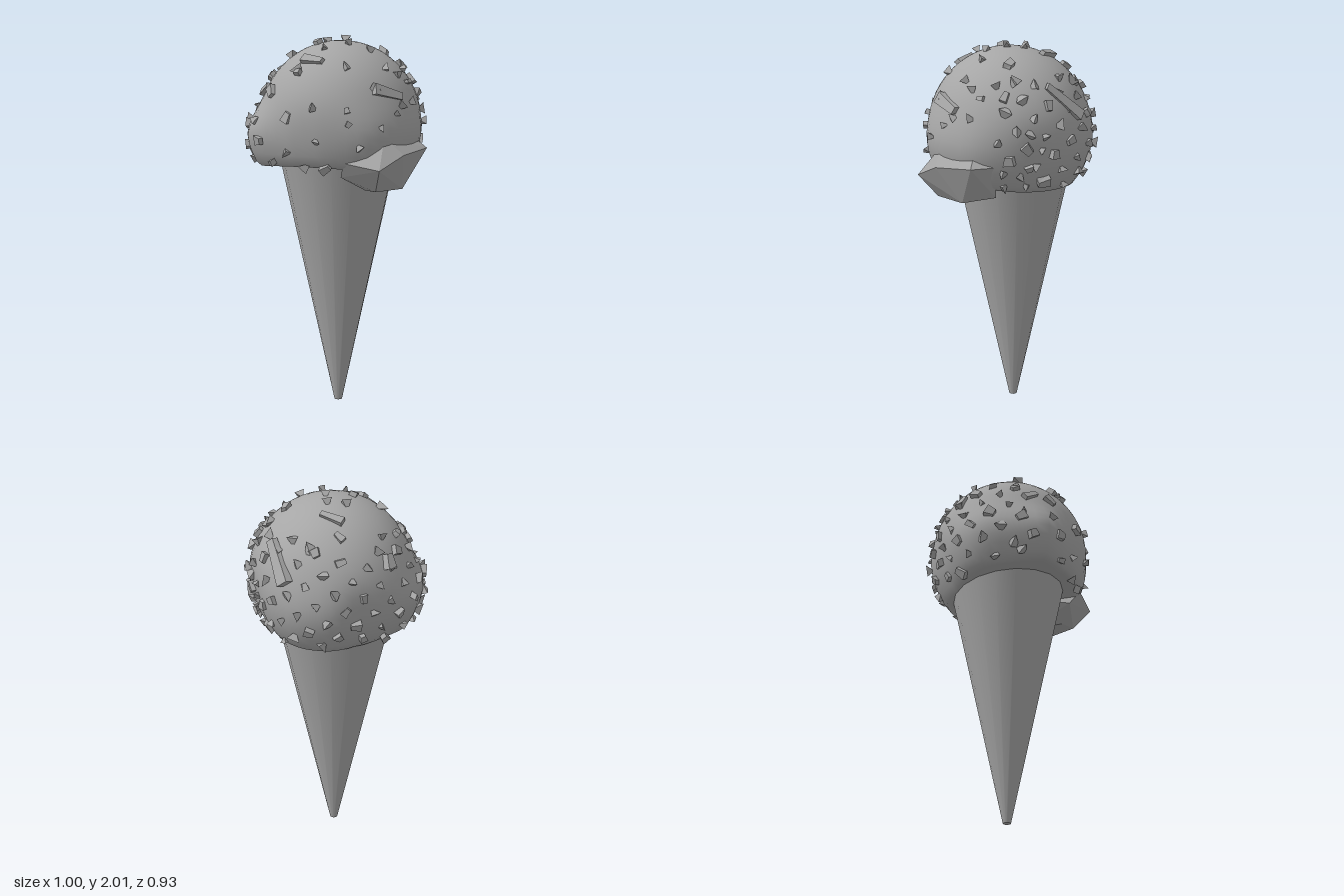
import * as THREE from 'three';
import { mergeGeometries, mergeVertices } from 'three/addons/utils/BufferGeometryUtils.js';
import { ConvexGeometry } from 'three/addons/geometries/ConvexGeometry.js';

const CENTER_Y = 1.545, RADIUS = 0.44;
// lower outline of the scoop: radius every 22.5 degrees, from +z towards +x
const OUTLINE = [0.42, 0.43, 0.46, 0.46, 0.46, 0.43, 0.41, 0.435, 0.45, 0.445, 0.41, 0.445, 0.49, 0.49, 0.52, 0.44];

function seeded(seed) {
  return () => {
    seed = (seed * 1664525 + 1013904223) % 4294967296;
    return seed / 4294967296;
  };
}

// unit direction -> point on the lumpy scoop
function scoopPoint(d) {
  const az = Math.atan2(d.x, d.z);
  const t = ((az / (Math.PI * 2) + 1) % 1) * 16;
  const i = Math.floor(t) % 16, f = t - Math.floor(t);
  const lower = THREE.MathUtils.lerp(OUTLINE[i], OUTLINE[(i + 1) % 16], f);
  const y = CENTER_Y + d.y * RADIUS;
  const blend = 1 - THREE.MathUtils.smoothstep(y, 1.47, 1.72);
  const r = THREE.MathUtils.lerp(RADIUS - 0.005, lower, blend);
  const rim = 1.3 + 0.04 * Math.cos(az);
  return new THREE.Vector3(d.x * r, Math.max(y, rim), d.z * r);
}

function makeScoop() {
  let g = new THREE.SphereGeometry(1, 48, 28);
  const p = g.attributes.position, v = new THREE.Vector3();
  for (let i = 0; i < p.count; i++) {
    const q = scoopPoint(v.fromBufferAttribute(p, i));
    p.setXYZ(i, q.x, q.y, q.z);
  }
  g.deleteAttribute('normal');
  g.deleteAttribute('uv');
  g = mergeVertices(g);
  g.computeVertexNormals();
  return g;
}

// one faceted chip: a jittered tetrahedron or a tapered block, flat on y
function makeChip(rand, size) {
  const block = size > 1.2 || rand() < 0.4;
  let g = block
    ? new THREE.BoxGeometry(0.045, 0.036, 0.045 + 0.035 * Math.max(0, size - 1))
    : new THREE.TetrahedronGeometry(0.036);
  if (g.index) g = g.toNonIndexed();
  const p = g.attributes.position;
  const sx = 0.75 + rand() * 0.5, sz = 0.75 + rand() * 0.5, lean = (rand() - 0.5) * 0.8;
  for (let i = 0; i < p.count; i++) {
    const x = p.getX(i), y = p.getY(i), z = p.getZ(i);
    const taper = block && z > 0 ? 0.65 : 1;
    p.setXYZ(i, (x * sx * taper + y * lean) * Math.min(size, 1.2), y * taper, z * sz * size);
  }
  g.deleteAttribute('uv');
  g.computeVertexNormals();
  return g;
}

// chip places, as pairs in the plane named
const FRONT = [-0.32, 1.8, -0.08, 1.82, 0.05, 1.65, -0.1, 1.6, 0.07, 1.48, -0.11, 1.42, -0.38, 1.58, -0.29, 1.57,
  -0.35, 1.44, -0.25, 1.47, 0.23, 1.57, 0.27, 1.45, 0.22, 1.64, -0.24, 1.72, -0.02, 1.33, 0.1, 1.34,
  -0.35, 1.36, -0.2, 1.36, 0.31, 1.75];
const SIDE = [0.12, 1.66, -0.02, 1.77, 0.04, 1.81, 0.02, 1.67, 0.1, 1.84, -0.08, 1.83, -0.14, 1.78, -0.16, 1.84,
  -0.28, 1.6, -0.27, 1.42, -0.33, 1.51, 0.26, 1.55, 0.17, 1.62, -0.15, 1.4, -0.24, 1.32];
const TOP = [-0.15, -0.25, 0.07, -0.31, -0.1, -0.05, -0.01, -0.08, 0.03, 0, 0.09, 0.09, 0.2, 0.06, -0.09, 0.09,
  -0.22, 0.13, 0, 0.19, 0.17, 0.27, -0.09, 0.32, -0.31, -0.09, 0.21, -0.1, 0.27, -0.16, -0.03, -0.34];
// larger pieces seen from above: x, z, length factor, turn
const BIG = [[-0.37, -0.14, 1.5, 1], [-0.08, -0.18, 1.8, 1.5], [0.13, -0.37, 2.3, 0.4],
  [-0.02, 0.28, 1.8, 1.4], [0.36, 0.18, 2.2, 2.4], [-0.32, 0.24, 1.6, 1.2]];

function makeChips() {
  const rand = seeded(11), parts = [], up = new THREE.Vector3(0, 1, 0);
  const add = (x, y, z, size, turn = rand() * 6.28) => {
    const d = new THREE.Vector3(x, y, z).normalize();
    const g = makeChip(rand, size);
    g.rotateY(turn);
    g.applyQuaternion(new THREE.Quaternion().setFromUnitVectors(up, d));
    const q = scoopPoint(d).addScaledVector(d, 0.006);
    g.translate(q.x, q.y, q.z);
    parts.push(g);
  };
  const depth = (a, b) => Math.sqrt(Math.max(0, RADIUS * RADIUS - a * a - b * b));
  const pairs = (list, fn) => {
    for (let i = 0; i < list.length; i += 2) fn(list[i], list[i + 1]);
  };
  const size = () => 0.75 + rand() * 0.4;
  pairs(FRONT, (x, y) => add(x, y - CENTER_Y, depth(x, y - CENTER_Y), size()));
  pairs(SIDE, (z, y) => add(depth(z, y - CENTER_Y), y - CENTER_Y, z, size()));
  pairs(TOP, (x, z) => add(x, depth(x, z), z, size()));
  BIG.forEach(([x, z, s, turn]) => add(x, depth(x, z), z, s, turn));
  // scatter over the back and the right-hand side
  for (let i = 0; i < 120; i++) {
    const y = 0.65 - 1.2 * (i + 0.5) / 120, a = i * 2.39996, r = Math.sqrt(1 - y * y);
    const x = r * Math.sin(a), z = r * Math.cos(a);
    if (z < -0.25 || (x < -0.75 && z < 0.5)) add(x, y, z, size());
  }
  return mergeGeometries(parts);
}

export function createModel() {
  const group = new THREE.Group();
  const grey = new THREE.MeshStandardMaterial({ color: 0xa6a6a6 });
  grey.name = 'plain grey';
  const add = (name, geometry) => {
    const mesh = new THREE.Mesh(geometry, grey);
    mesh.name = name;
    group.add(mesh);
    return mesh;
  };

  // tapered cone, running up into the scoop
  const cone = add('cone', new THREE.CylinderGeometry(0.32, 0.021, 1.38, 18));
  cone.position.set(-0.02, 0.69, -0.01);

  add('scoop', makeScoop());

  // faceted melted lump on the left
  add('drip', new ConvexGeometry([
    [0.495, 1.43, -0.02], [0.39, 1.34, 0.345], [0.46, 1.41, 0.2], [0.36, 1.5, 0.22], [0.41, 1.5, 0.0],
    [0.4, 1.22, 0.08], [0.33, 1.22, 0.26], [0.25, 1.22, 0.22], [0.25, 1.22, 0.02], [0.33, 1.25, -0.08],
    [0.4, 1.43, -0.12], [0.15, 1.29, 0.3], [0.19, 1.37, 0.35], [0.15, 1.35, 0.05],
  ].map((c) => new THREE.Vector3(...c))));

  add('sprinkles', makeChips());
  return group;
}
